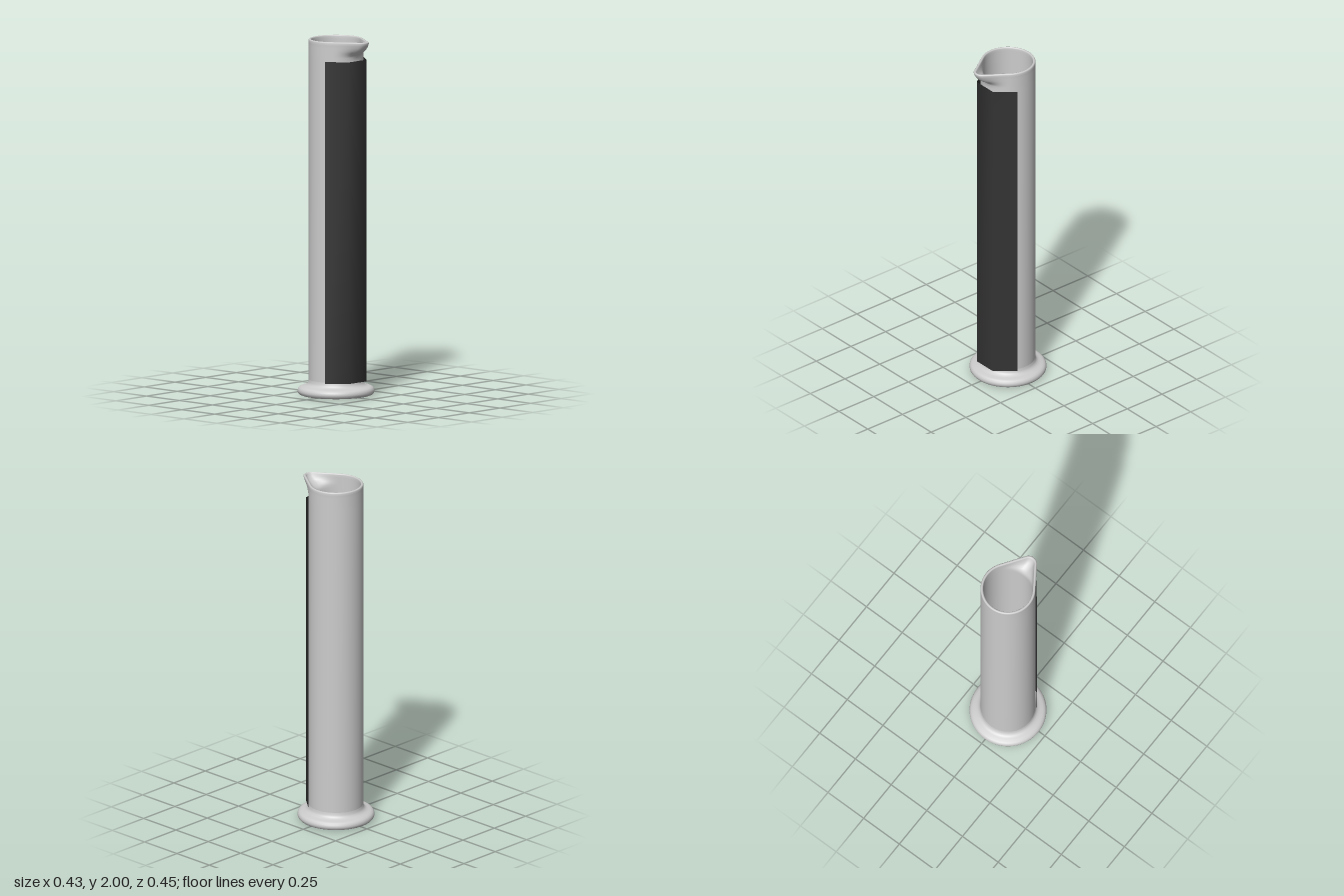
import * as THREE from 'three';

const AXIS_Z = -0.011;      // the tube axis sits slightly behind centre, the spout balances it
const SEGMENTS = 96;

// Radius of a round rim pulled out to a rounded spout towards +z
function spoutRadius(theta, R) {
  const d = 0.187, tip = R - 0.106;
  const tangent = Math.acos((R - tip) / d);
  const tipEdge = Math.atan2(tip * Math.sin(tangent), d + tip * Math.cos(tangent));
  const t = Math.abs(theta);
  if (t >= tangent) return R;
  if (t >= tipEdge) return R / Math.cos(t - tangent);
  return d * Math.cos(t) + Math.sqrt(tip * tip - (d * Math.sin(t)) ** 2);
}

// Skin through rings of [y, radius, spout amount]
function loftRings(rings) {
  const positions = [], index = [];
  rings.forEach(([y, R, amount]) => {
    for (let j = 0; j < SEGMENTS; j++) {
      const u = (j / SEGMENTS) * Math.PI * 2 - Math.PI;
      const theta = u - 0.6 * Math.sin(u);   // denser around the spout
      const r = THREE.MathUtils.lerp(R, spoutRadius(theta, R), amount);
      positions.push(r * Math.sin(theta), y, r * Math.cos(theta));
    }
  });
  for (let i = 0; i < rings.length - 1; i++) {
    for (let j = 0; j < SEGMENTS; j++) {
      const k = (j + 1) % SEGMENTS;
      const a = i * SEGMENTS + j, b = i * SEGMENTS + k;
      index.push(a, b, b + SEGMENTS, a, b + SEGMENTS, a + SEGMENTS);
    }
  }
  const geometry = new THREE.BufferGeometry();
  geometry.setAttribute('position', new THREE.Float32BufferAttribute(positions, 3));
  geometry.setIndex(index);
  geometry.computeVertexNormals();
  return geometry;
}

export function createModel() {
  const glass = new THREE.MeshStandardMaterial({ color: 0xcccccc });
  glass.name = 'pale grey';
  const dark = new THREE.MeshStandardMaterial({ color: 0x333333, side: THREE.DoubleSide });
  dark.name = 'charcoal';

  const model = new THREE.Group();
  model.name = 'measuringCylinder';
  const body = new THREE.Group();
  body.name = 'body';
  body.position.z = AXIS_Z;
  model.add(body);
  const add = (name, geometry, material) => {
    const mesh = new THREE.Mesh(geometry, material);
    mesh.name = name;
    body.add(mesh);
    return mesh;
  };

  // Tube wall: outside going up, over the rounded rim, inside going down
  const R = 0.152, r = 0.138;
  add('tubeWall', loftRings([
    [0.07, R, 0], [1.0, R, 0], [1.89, R, 0], [1.91, R, 0.03], [1.92, R, 0.12],
    [1.93, R, 0.3], [1.94, R, 0.5], [1.95, R, 0.68], [1.965, R, 0.84],
    [1.98, R, 0.95], [1.993, R + 0.001, 1], [1.998, R - 0.002, 1], [2, 0.145, 1],
    [1.998, r + 0.002, 1], [1.993, r, 0.99], [1.98, r, 0.9], [1.965, r, 0.72],
    [1.955, r, 0.5], [1.945, r, 0.28], [1.935, r, 0.1], [1.92, r, 0.02],
    [1.9, r, 0], [1.0, r, 0], [0.05, r, 0],
  ]), glass);

  // Floor inside the tube
  const floor = add('tubeFloor', new THREE.CircleGeometry(r, 48), glass);
  floor.rotation.x = -Math.PI / 2;
  floor.position.y = 0.05;

  // Rounded foot that flares out of the tube
  const foot = [
    [0.195, 0.004], [0.205, 0.008], [0.212, 0.016], [0.214, 0.026], [0.212, 0.037],
    [0.205, 0.046], [0.194, 0.051], [0.18, 0.054], [0.168, 0.058], [0.159, 0.066],
    [0.154, 0.076], [0.152, 0.09],
  ].map(([x, y]) => new THREE.Vector2(x, y));
  add('foot', new THREE.LatheGeometry(foot, 64), glass);

  // Underside of the foot with a low standing pad
  const underside = add('footUnderside', new THREE.CircleGeometry(0.195, 64), glass);
  underside.rotation.x = Math.PI / 2;
  underside.position.y = 0.004;
  const pad = add('footPad', new THREE.CylinderGeometry(0.14, 0.14, 0.004, 48), glass);
  pad.position.y = 0.002;

  // Dark panel: three wide facets standing just off the front of the tube
  const outline = [[-0.156, 0.061], [-0.07, 0.166], [0.07, 0.166], [0.156, 0.061]];
  const panel = new THREE.PlaneGeometry(1, 1.805, 3, 1);
  const p = panel.attributes.position;
  for (let i = 0; i < p.count; i++) {
    const [x, z] = outline[i % 4];
    p.setX(i, x);
    p.setZ(i, z);
  }
  panel.computeVertexNormals();
  add('frontPanel', panel, dark).position.y = 0.9875;

  return model;
}
